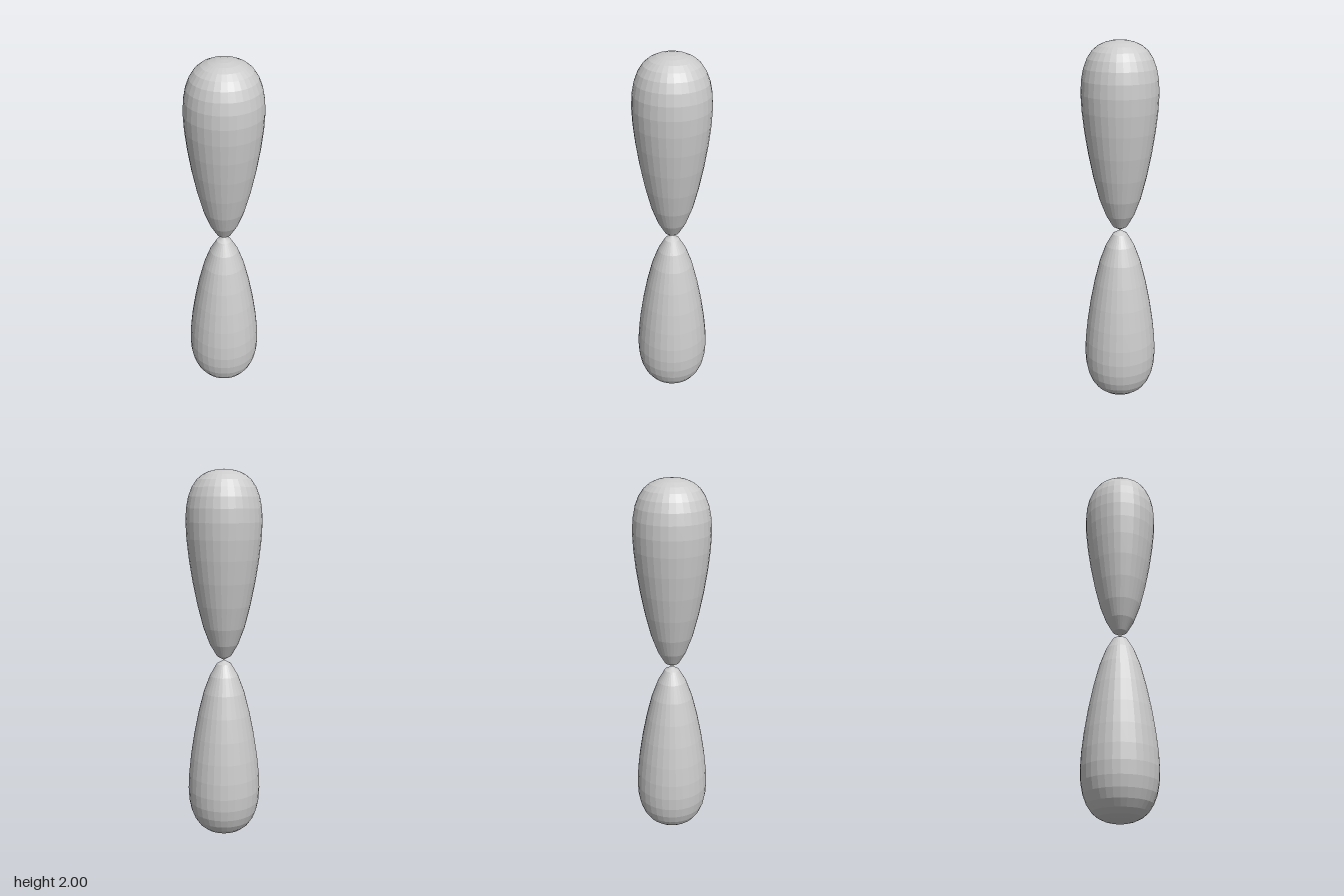
import * as THREE from 'three';

// Ring heights of one lobe, from the pointed tip to the domed end
const HEIGHTS = [0, 0.022, 0.087, 0.18, 0.3, 0.425, 0.545, 0.65, 0.735,
  0.805, 0.863, 0.91, 0.947, 0.972, 0.988, 0.997, 1];
const RADIUS = 0.2;

// Teardrop: a sphere's rings stretched along the axis
function lobeGeometry() {
  const last = HEIGHTS.length - 1;
  const profile = HEIGHTS.map((y, i) => {
    const r = i === 0 || i === last ? 0 : RADIUS * Math.sin((Math.PI * i) / last);
    return new THREE.Vector2(r, y);
  });
  return new THREE.LatheGeometry(profile, 32);
}

export function createModel() {
  const model = new THREE.Group();
  model.name = 'doubleLobe';
  const material = new THREE.MeshStandardMaterial({ color: 0xcccccc, flatShading: true });
  const geometry = lobeGeometry();

  // Two equal lobes meeting tip to tip at y = 1
  for (const [name, turn] of [['upperLobe', 0], ['lowerLobe', Math.PI]]) {
    const lobe = new THREE.Mesh(geometry, material);
    lobe.name = name;
    lobe.position.y = 1;
    lobe.rotation.x = turn;
    model.add(lobe);
  }
  return model;
}
